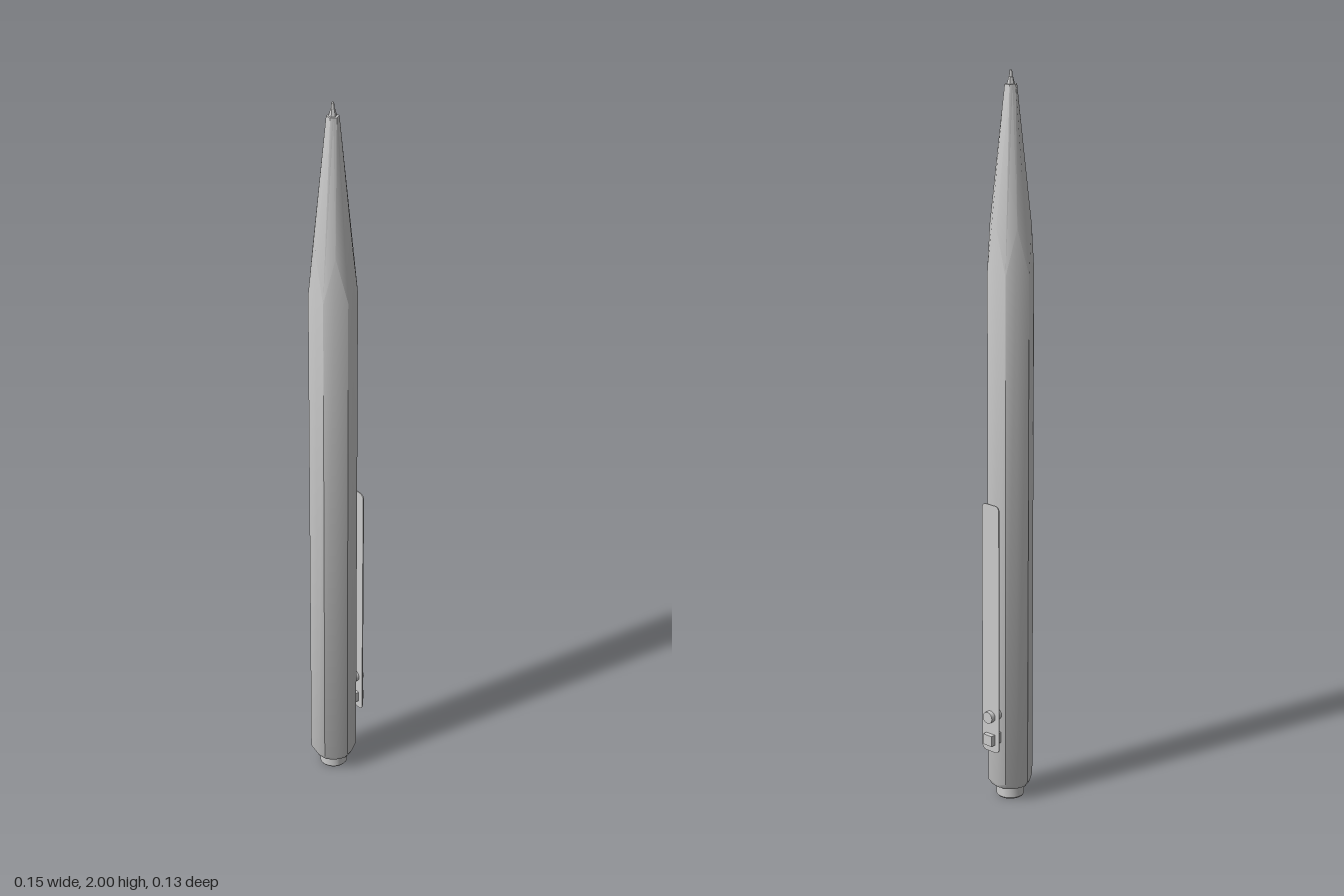
import * as THREE from 'three';
import { toCreasedNormals } from 'three/addons/utils/BufferGeometryUtils.js';

const AXIS_X = -0.02;
const material = new THREE.MeshStandardMaterial({ color: 0xcccccc });

function addPart(parent, name, geometry, x, y, z = 0) {
  const mesh = new THREE.Mesh(geometry, material);
  mesh.name = name;
  mesh.position.set(x, y, z);
  parent.add(mesh);
  return mesh;
}

// Twelve-point rings alternating hexagon corners and flat centres,
// each ring given as [corner radius, corner y, flat radius, flat y]
function hexLoft(rings) {
  const n = 12, points = [], index = [];
  for (const [rc, yc, rf, yf] of rings) {
    for (let i = 0; i < n; i++) {
      const a = (i / n) * Math.PI * 2;
      const r = i % 2 ? rf : rc;
      points.push(Math.sin(a) * r, i % 2 ? yf : yc, Math.cos(a) * r);
    }
  }
  for (let j = 0; j < rings.length - 1; j++) {
    for (let i = 0; i < n; i++) {
      const a = j * n + i, b = j * n + ((i + 1) % n);
      index.push(a, b, b + n, a, b + n, a + n);
    }
  }
  // end caps
  const top = (rings.length - 1) * n;
  for (let i = 1; i < n - 1; i++) {
    index.push(0, i + 1, i, top, top + i, top + i + 1);
  }
  const geometry = new THREE.BufferGeometry();
  geometry.setAttribute('position', new THREE.Float32BufferAttribute(points, 3));
  geometry.setIndex(index);
  return toCreasedNormals(geometry, 0.7);
}

// Thin rounded plate in the y-z plane
function plateGeometry(width, height, thickness, radius) {
  const w = width / 2, h = height / 2, r = radius;
  const shape = new THREE.Shape();
  shape.absarc(w - r, h - r, r, 0, Math.PI / 2);
  shape.absarc(-w + r, h - r, r, Math.PI / 2, Math.PI);
  shape.absarc(-w + r, -h + r, r, Math.PI, Math.PI * 1.5);
  shape.absarc(w - r, -h + r, r, Math.PI * 1.5, Math.PI * 2);
  const geometry = new THREE.ExtrudeGeometry(shape, {
    depth: thickness, bevelEnabled: false, curveSegments: 6,
  });
  geometry.translate(0, 0, -thickness / 2);
  return geometry.rotateY(Math.PI / 2);
}

export function createModel() {
  const model = new THREE.Group();
  model.name = 'mechanicalPencil';

  // Hexagonal barrel with chamfered end and tapered nose
  addPart(model, 'barrel', hexLoft([
    [0.052, 0.036, 0.050, 0.036],
    [0.0635, 0.054, 0.055, 0.045],
    [0.0635, 1.48, 0.055, 1.605],
    [0.0165, 1.965, 0.0143, 1.965],
  ]), AXIS_X, 0);

  // Tip: small hexagonal sleeve and the lead
  const sleeve = new THREE.CylinderGeometry(0.006, 0.0105, 0.018, 6).toNonIndexed();
  sleeve.computeVertexNormals();
  addPart(model, 'tipSleeve', sleeve, AXIS_X, 1.974);
  addPart(model, 'lead', new THREE.CylinderGeometry(0.0035, 0.0045, 0.02, 12), AXIS_X, 1.99);

  // Push button at the foot
  const buttonProfile = [[0, 0], [0.035, 0], [0.038, 0.004], [0.038, 0.04]]
    .map(([r, y]) => new THREE.Vector2(r, y));
  const button = toCreasedNormals(new THREE.LatheGeometry(buttonProfile, 32), 0.5);
  addPart(model, 'pushButton', button, AXIS_X, 0);

  // Pocket clip: plate held by a round and a square pin
  const clip = new THREE.Group();
  clip.name = 'pocketClip';
  model.add(clip);
  addPart(clip, 'clipPlate', plateGeometry(0.06, 0.71, 0.003, 0.014), 0.059, 0.51, -0.001);
  const roundPin = new THREE.CylinderGeometry(0.0165, 0.0165, 0.041, 20).rotateZ(Math.PI / 2);
  addPart(clip, 'roundPin', roundPin, 0.0535, 0.258, -0.001);
  addPart(clip, 'squarePin', new THREE.BoxGeometry(0.041, 0.03, 0.03), 0.0535, 0.192, -0.001);

  return model;
}
